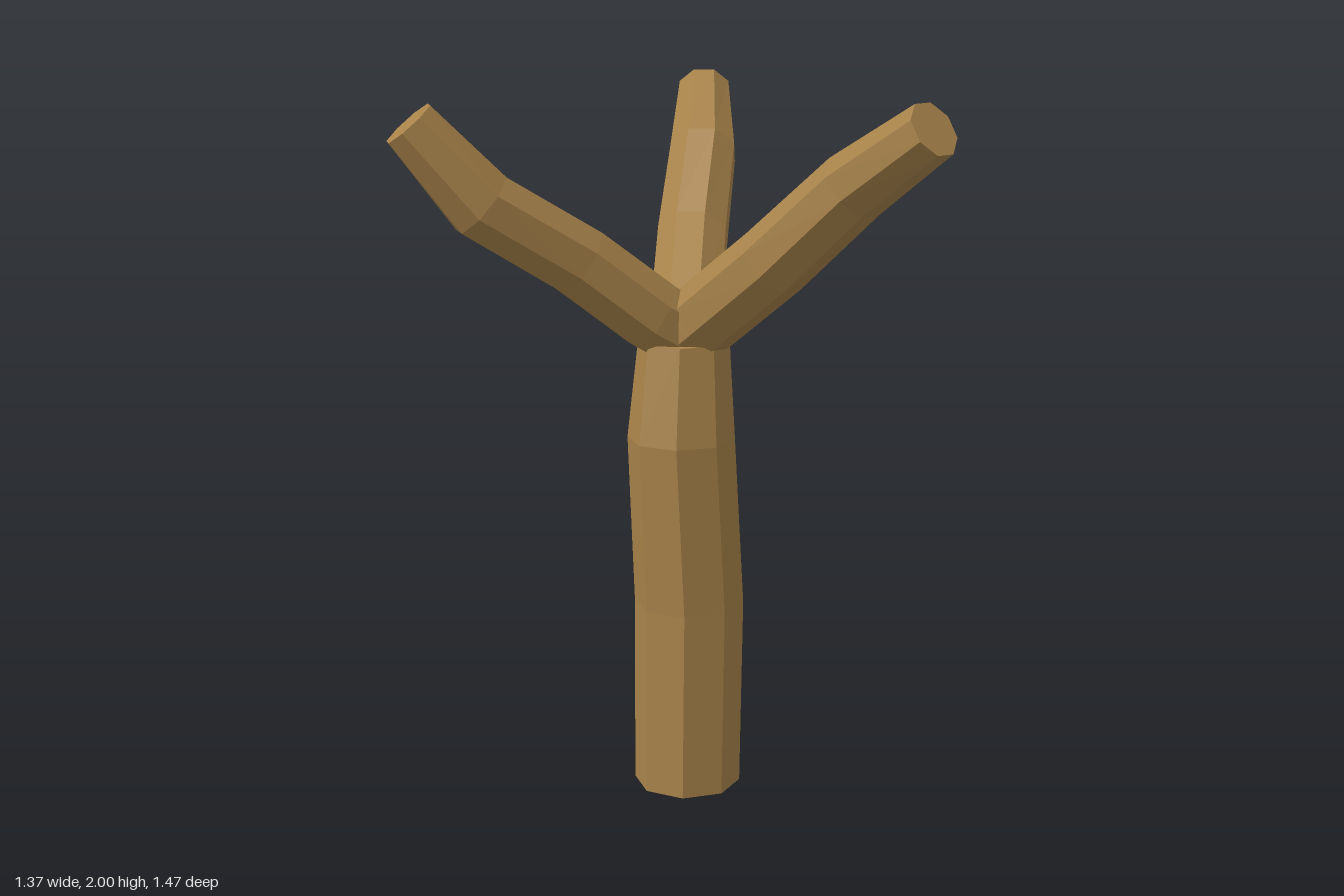
import * as THREE from 'three';

const SIDES = 8;
const UP = new THREE.Vector3(0, 1, 0);
const bark = new THREE.MeshStandardMaterial({ color: 0xa8834a, flatShading: true });

// Builds a capped octagonal limb from stations [x, y, z, radius].
// Level limbs keep horizontal rings; others turn their rings to the path.
function limb(name, stations, { level = false, phase = 0, adjust } = {}) {
  const centres = stations.map(([x, y, z]) => new THREE.Vector3(x, y, z));
  const last = centres.length - 1;
  const positions = [];
  const index = [];
  centres.forEach((c, i) => {
    let u = new THREE.Vector3(1, 0, 0);
    let v = new THREE.Vector3(0, 0, 1);
    if (!level) {
      const t = new THREE.Vector3();
      if (i > 0) t.add(c.clone().sub(centres[i - 1]).normalize());
      if (i < last) t.add(centres[i + 1].clone().sub(c).normalize());
      t.normalize();
      u = t.clone().cross(UP).normalize();
      v = u.clone().cross(t);
    }
    for (let j = 0; j < SIDES; j++) {
      const a = phase + (j / SIDES) * Math.PI * 2;
      const p = c.clone()
        .addScaledVector(v, Math.cos(a) * stations[i][3])
        .addScaledVector(u, Math.sin(a) * stations[i][3]);
      if (adjust) adjust(p, i, j);
      positions.push(p.x, p.y, p.z);
    }
  });
  // Walls
  for (let i = 0; i < last; i++) {
    for (let j = 0; j < SIDES; j++) {
      const a = i * SIDES + j;
      const b = i * SIDES + ((j + 1) % SIDES);
      index.push(a, b, b + SIDES, a, b + SIDES, a + SIDES);
    }
  }
  // End caps
  const top = last * SIDES;
  for (let j = 1; j < SIDES - 1; j++) {
    index.push(0, j + 1, j);
    index.push(top, top + j, top + j + 1);
  }
  const geometry = new THREE.BufferGeometry();
  geometry.setAttribute('position', new THREE.Float32BufferAttribute(positions, 3));
  geometry.setIndex(index);
  geometry.computeVertexNormals();
  const mesh = new THREE.Mesh(geometry, bark);
  mesh.name = name;
  return mesh;
}

export function createModel() {
  const model = new THREE.Group();
  model.name = 'forkedTree';

  // Trunk, with one corner of its foot drawn down to the ground
  model.add(limb('trunk', [
    [0.055, 0.035, -0.095, 0.15],
    [0.062, 0.57, -0.095, 0.153],
    [0.028, 1.05, -0.088, 0.148],
    [0.044, 1.32, -0.095, 0.125],
  ], {
    level: true,
    adjust: (p, i, j) => { if (i === 0 && j === 2) p.y = 0; },
  }));

  // Three branches fanning out of the fork
  const fork = [0.05, 1.335, -0.1, 0.1];
  const branches = {
    frontBranch: [
      [0.065, 1.385, -0.035, 0.104],
      [0.10, 1.565, 0.20, 0.102],
      [0.147, 1.78, 0.445, 0.095],
      [0.163, 1.94, 0.695, 0.076],
    ],
    leftBackBranch: [
      [0.10, 1.375, -0.15, 0.104],
      [0.28, 1.555, -0.335, 0.104],
      [0.455, 1.765, -0.495, 0.1],
      [0.612, 1.928, -0.673, 0.079],
    ],
    rightBackBranch: [
      [-0.04, 1.395, -0.13, 0.104],
      [-0.225, 1.55, -0.205, 0.102],
      [-0.475, 1.715, -0.29, 0.1],
      [-0.635, 1.925, -0.373, 0.077],
    ],
  };
  for (const [name, stations] of Object.entries(branches)) {
    model.add(limb(name, [fork, ...stations], { phase: Math.PI / 8 }));
  }
  return model;
}
